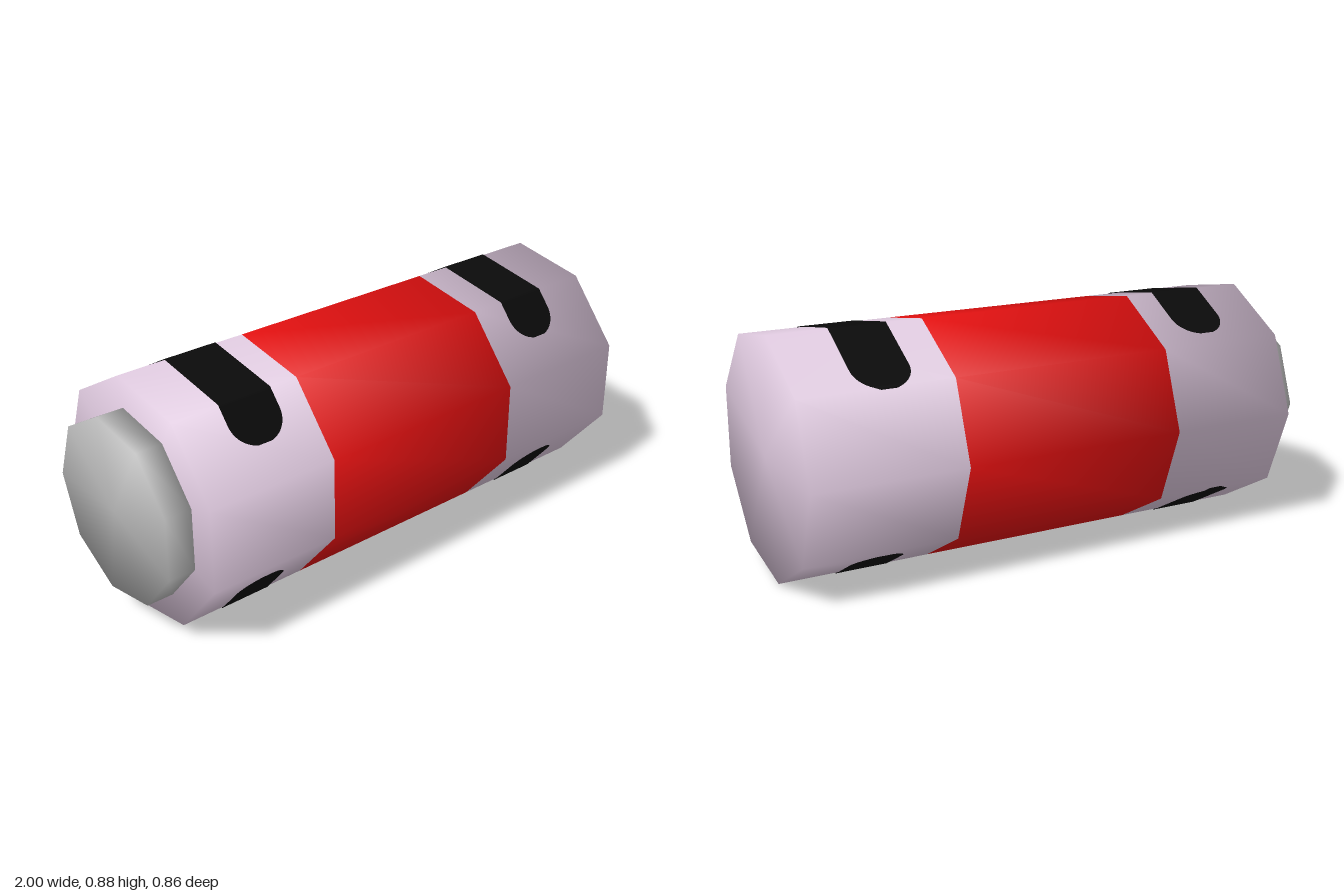
import * as THREE from 'three';

const SIDES = 9, R = 0.4434, CY = 0.4367, CZ = 0.0134;
const STEP = (Math.PI * 2) / SIDES;

// Soft normals that blend the sides into the end caps between x0 and x1
function soften(geo, x0, x1, r) {
  const p = geo.attributes.position, n = geo.attributes.normal, v = new THREE.Vector3();
  for (let i = 0; i < p.count; i++) {
    v.set(((p.getX(i) - x0) / (x1 - x0)) * 2 - 1, p.getY(i) / r, p.getZ(i) / r).normalize();
    n.setXYZ(i, v.x, v.y, v.z);
  }
  return geo;
}

// Open nine-sided tube along x
function tube(a, b, r) {
  return new THREE.CylinderGeometry(r, r, b - a, SIDES, 1, true, Math.PI)
    .rotateZ(-Math.PI / 2).translate((a + b) / 2, 0, 0);
}

// End cap facing +x (dir 1) or -x (dir -1)
function cap(x, r, dir) {
  return new THREE.CircleGeometry(r, SIDES, dir > 0 ? 0 : Math.PI)
    .rotateY(dir * Math.PI / 2).translate(x, 0, 0);
}

// Round-ended stripe wrapped over the facets, from angle d0 to d1 in degrees
// (0 is the back, 90 the top, 180 the front)
function stripe(x, halfWidth, d0, d1) {
  const pos = [], idx = [], round = 13;
  for (let d = d0; d <= d1; d++) {
    const a = THREE.MathUtils.degToRad(d);
    const r = 0.003 + R * Math.cos(STEP / 2) / Math.cos((a % STEP) - STEP / 2);
    const u = Math.max(0, 1 - Math.min(d - d0 + 0.5, d1 - d + 0.5) / round);
    const w = halfWidth * Math.sqrt(1 - u * u);
    for (const s of [-1, 1]) pos.push(x + s * w, r * Math.sin(a), -r * Math.cos(a));
    if (d > d0) {
      const k = (d - d0 - 1) * 2;
      idx.push(k, k + 2, k + 1, k + 1, k + 2, k + 3);
    }
  }
  const geo = new THREE.BufferGeometry();
  geo.setAttribute('position', new THREE.Float32BufferAttribute(pos, 3));
  geo.setIndex(idx);
  geo.computeVertexNormals();
  return geo;
}

export function createModel() {
  const mat = (name, color, extra) => {
    const m = new THREE.MeshStandardMaterial({ color, ...extra });
    m.name = name;
    return m;
  };
  const pink = mat('palePink', 0xdac5da);
  const red = mat('red', 0xe01010);
  const grey = mat('grey', 0xb6b6b6);
  const black = mat('black', 0x0a0a0a, { side: THREE.DoubleSide });

  const model = new THREE.Group();
  model.name = 'barrel';
  const add = (name, geo, material) => {
    const mesh = new THREE.Mesh(geo, material);
    mesh.name = name;
    mesh.position.set(0, CY, CZ);
    model.add(mesh);
  };

  // Main body in three colour bands
  const body = (name, geo, m) => add(name, soften(geo, -0.9, 1, R), m);
  body('rightBand', tube(-0.9, -0.4, R), pink);
  body('middleBand', tube(-0.4, 0.44, R), red);
  body('leftBand', tube(0.44, 1, R), pink);
  body('leftEnd', cap(1, R, 1), pink);
  body('rightEnd', cap(-0.9, R, -1), pink);

  // Smaller lid on the right end
  const r = 0.3325;
  add('lidSide', soften(tube(-1, -0.9, r), -1, -0.9, r), grey);
  add('lidFace', soften(cap(-1, r, -1), -1, -0.9, r), grey);

  // Painted stripes above and below
  add('topRightStripe', stripe(-0.615, 0.104, 47, 142), black);
  add('topLeftStripe', stripe(0.68, 0.105, 39, 142), black);
  add('bottomRightStripe', stripe(-0.645, 0.097, 211, 321), black);
  add('bottomLeftStripe', stripe(0.695, 0.097, 210, 313), black);

  return model;
}
